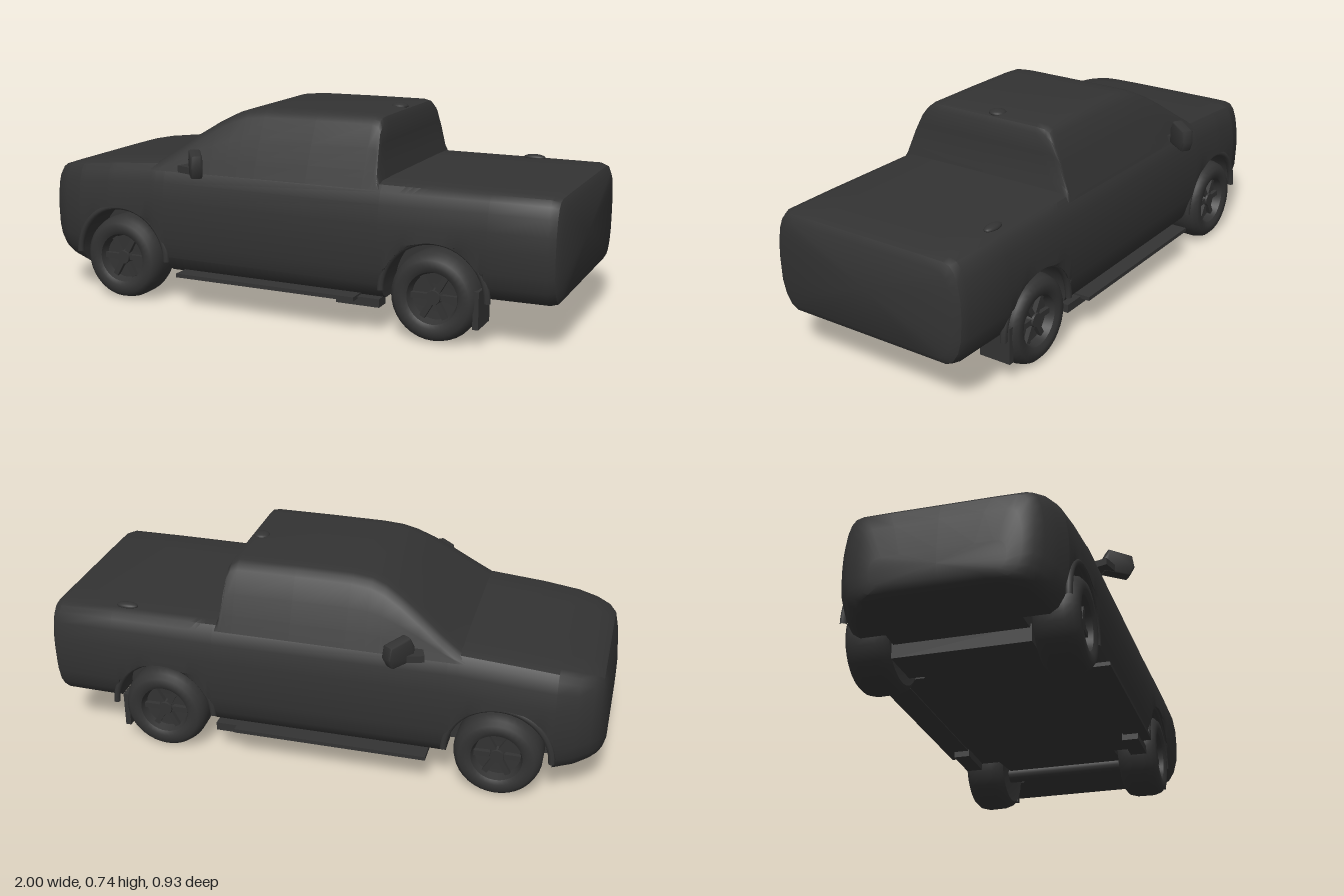
import * as THREE from 'three';
import { toCreasedNormals } from 'three/addons/utils/BufferGeometryUtils.js';

const paint = new THREE.MeshStandardMaterial({ color: 0x333333 });
paint.name = 'charcoal';

const WHEELS = [-0.645, 0.575];
const ARCH_Y = 0.165, ARCH_R = 0.185;

// Linear lookup of the remaining columns of a table by its first column
function lookup(rows, x) {
  if (x <= rows[0][0]) return rows[0].slice(1);
  for (let i = 1; i < rows.length; i++) {
    const a = rows[i - 1], b = rows[i];
    if (x <= b[0]) {
      const f = (x - a[0]) / (b[0] - a[0]);
      return a.slice(1).map((v, k) => v + (b[k + 1] - v) * f);
    }
  }
  return rows[rows.length - 1].slice(1);
}

// Skin closed cross-sections along x; half(x) lists [z, y] from top centre to bottom centre
function loft(xs, half, crease) {
  const pos = [], index = [];
  let n = 0;
  xs.forEach((x) => {
    const h = half(x);
    const ring = [...h, ...h.slice(1, -1).reverse().map(([z, y]) => [-z, y])];
    n = ring.length;
    ring.forEach(([z, y]) => pos.push(x, y, z));
  });
  for (let i = 0; i < xs.length - 1; i++) {
    for (let j = 0; j < n; j++) {
      const a = i * n + j, b = i * n + (j + 1) % n;
      index.push(a, b, a + n, b, b + n, a + n);
    }
  }
  // End caps
  [0, xs.length - 1].forEach((i) => {
    const h = half(xs[i]);
    const c = pos.length / 3;
    pos.push(xs[i], (h[0][1] + h[h.length - 1][1]) / 2, 0);
    for (let j = 0; j < n; j++) {
      const a = i * n + j, b = i * n + (j + 1) % n;
      if (i === 0) index.push(c, b, a);
      else index.push(c, a, b);
    }
  });
  const g = new THREE.BufferGeometry();
  g.setAttribute('position', new THREE.Float32BufferAttribute(pos, 3));
  g.setIndex(index);
  return toCreasedNormals(g, crease);
}

// Body: x, top, bottom, half width
const BODY = [
  [-1, 0.29, 0.19, 0.22], [-0.99, 0.4, 0.17, 0.265], [-0.975, 0.455, 0.16, 0.3],
  [-0.95, 0.475, 0.148, 0.325], [-0.9, 0.49, 0.128, 0.352], [-0.83, 0.503, 0.11, 0.37],
  [-0.7, 0.518, 0.11, 0.378], [-0.5, 0.534, 0.125, 0.382], [0.38, 0.532, 0.125, 0.385],
  [0.76, 0.532, 0.168, 0.388], [0.96, 0.532, 0.17, 0.386], [0.985, 0.524, 0.176, 0.376],
  [1, 0.5, 0.2, 0.352],
];

function archHeight(x) {
  for (const c of WHEELS) {
    const d = Math.abs(x - c);
    if (d <= ARCH_R) return ARCH_Y + Math.sqrt(ARCH_R * ARCH_R - d * d);
  }
  return 0;
}

function bodySection(x) {
  const [t, b, w] = lookup(BODY, x);
  const h = t - b, arch = archHeight(x);
  const lift = (y) => Math.max(y, arch);
  return [
    [0, t], [0.55 * w, t], [0.82 * w, t - 0.004 * h], [0.89 * w, t - 0.025 * h],
    [0.935 * w, t - 0.08 * h], [0.97 * w, t - 0.18 * h], [0.995 * w, t - 0.34 * h],
    [w, lift(t - 0.5 * h)], [0.99 * w, lift(b + 0.28 * h)], [0.955 * w, lift(b + 0.14 * h)],
    [0.9 * w, lift(b + 0.045 * h)], [0.83 * w, lift(b)], [0.605 * w, lift(b)],
    [0.6 * w, b], [0, b],
  ];
}

// Cab: x, roof height; and side: y, half width
const CAB = [[-0.52, 0.52], [-0.48, 0.545], [-0.43, 0.578], [-0.35, 0.635], [-0.28, 0.68],
  [-0.22, 0.712], [-0.17, 0.728], [-0.1, 0.735], [0.1, 0.737], [0.31, 0.737],
  [0.335, 0.73], [0.346, 0.71], [0.352, 0.65], [0.36, 0.56], [0.375, 0.52]];
const CAB_SIDE = [[0.5, 0.358], [0.53, 0.346], [0.6, 0.32], [0.68, 0.282], [0.735, 0.252]];

function cabSection(x) {
  const [h] = lookup(CAB, x);
  const w = (y) => lookup(CAB_SIDE, y)[0];
  const shoulder = Math.max(h - 0.03, 0.5);
  const side = [0, 0.35, 0.7, 1].map((f) => {
    const y = shoulder + (0.5 - shoulder) * f;
    return [w(y), y];
  });
  return [[0, h], [w(h) - 0.06, h], [w(h) - 0.02, h - 0.003], [w(h) - 0.002, h - 0.012], ...side, [0, 0.5]];
}

function add(parent, name, geometry, x = 0, y = 0, z = 0) {
  const m = new THREE.Mesh(geometry, paint);
  m.name = name;
  m.position.set(x, y, z);
  parent.add(m);
  return m;
}

// Tyre with recessed rim, axis along z, outer face toward +z
function wheelGeometry() {
  const profile = [[0, -0.07], [0.1, -0.07], [0.13, -0.075], [0.147, -0.062], [0.155, -0.035],
    [0.156, 0.03], [0.148, 0.058], [0.132, 0.073], [0.105, 0.075], [0.09, 0.066], [0.08, 0.035], [0, 0.03]];
  const g = new THREE.LatheGeometry(profile.map(([r, y]) => new THREE.Vector2(r, y)), 36);
  return toCreasedNormals(g.rotateX(Math.PI / 2), 0.7);
}

function addWheel(parent, name, x, side) {
  const wheel = new THREE.Group();
  wheel.name = name;
  wheel.position.set(x, 0.16, 0.31 * side);
  if (side < 0) wheel.rotation.y = Math.PI;
  add(wheel, 'tyre', wheelGeometry());
  add(wheel, 'hub', new THREE.CylinderGeometry(0.024, 0.03, 0.03, 16).rotateX(Math.PI / 2), 0, 0, 0.042);
  for (let i = 0; i < 6; i++) {
    const a = (i / 6) * Math.PI * 2;
    const spoke = add(wheel, 'spoke', new THREE.BoxGeometry(0.06, 0.02, 0.02),
      Math.cos(a) * 0.052, Math.sin(a) * 0.052, 0.04);
    spoke.rotation.z = a;
  }
  parent.add(wheel);
}

export function createModel() {
  const truck = new THREE.Group();
  truck.name = 'pickupTruck';

  // Body stations, denser around the wheel arches
  const xs = BODY.map((r) => r[0]);
  for (const c of WHEELS) {
    for (let i = 0; i <= 20; i++) xs.push(c - Math.cos((i / 20) * Math.PI) * ARCH_R * 0.9999);
    xs.push(c - ARCH_R - 0.001, c + ARCH_R + 0.001);
  }
  xs.sort((a, b) => a - b);
  add(truck, 'body', loft(xs, bodySection, 0.6));
  add(truck, 'cab', loft(CAB.map((r) => r[0]), cabSection, 0.75));

  // Underbody
  add(truck, 'frontSkidPlate', new THREE.BoxGeometry(0.16, 0.06, 0.46), -0.68, 0.093, 0);
  add(truck, 'rearAxle', new THREE.CylinderGeometry(0.03, 0.03, 0.5, 14).rotateX(Math.PI / 2), 0.575, 0.135, 0);

  // Small fittings
  const blob = (a, b, c) => new THREE.SphereGeometry(1, 20, 14).scale(a, b, c);
  add(truck, 'roofAntenna', blob(0.03, 0.012, 0.03), 0.3, 0.735, -0.015);
  add(truck, 'bedCoverLatch', blob(0.04, 0.012, 0.02), 0.72, 0.533, -0.3);

  for (const s of [1, -1]) {
    const sideName = s > 0 ? 'Left' : 'Right';
    WHEELS.forEach((x, i) => addWheel(truck, (i ? 'rear' : 'front') + 'Wheel' + sideName, x, s));

    // Lip around each wheel arch
    for (const x of WHEELS) {
      const lip = new THREE.TorusGeometry(ARCH_R + 0.003, 0.012, 8, 28, Math.PI);
      add(truck, 'archLip' + sideName, lip, x, ARCH_Y, 0.367 * s);
    }

    // Running board and its rear step
    add(truck, 'runningBoard' + sideName, new THREE.BoxGeometry(0.7, 0.014, 0.09), -0.05, 0.127, 0.35 * s);
    add(truck, 'step' + sideName, new THREE.BoxGeometry(0.16, 0.03, 0.06), 0.3, 0.113, 0.33 * s);
    add(truck, 'mudFlap' + sideName, new THREE.BoxGeometry(0.02, 0.13, 0.12), 0.725, 0.135, 0.31 * s);

    // Door mirror: swept-back housing on a short arm
    const mirror = new THREE.Group();
    mirror.name = 'mirror' + sideName;
    const shape = new THREE.Shape([[-0.05, -0.035], [0.035, -0.037], [0.052, -0.005],
      [0.045, 0.033], [-0.035, 0.042], [-0.052, 0.01]].map(([a, b]) => new THREE.Vector2(a, b)));
    const housing = new THREE.ExtrudeGeometry(shape, {
      depth: 0.025, bevelEnabled: true, bevelSize: 0.006, bevelThickness: 0.008, bevelSegments: 2,
    }).translate(0, 0, -0.0125);
    const shell = add(mirror, 'mirrorHousing', toCreasedNormals(housing, 0.9), -0.3, 0.545, 0.41 * s);
    shell.rotation.y = -s * 0.95;
    const arm = add(mirror, 'mirrorArm', new THREE.BoxGeometry(0.06, 0.025, 0.08), -0.345, 0.52, 0.36 * s);
    arm.rotation.y = -s * 0.3;
    truck.add(mirror);
  }
  return truck;
}
